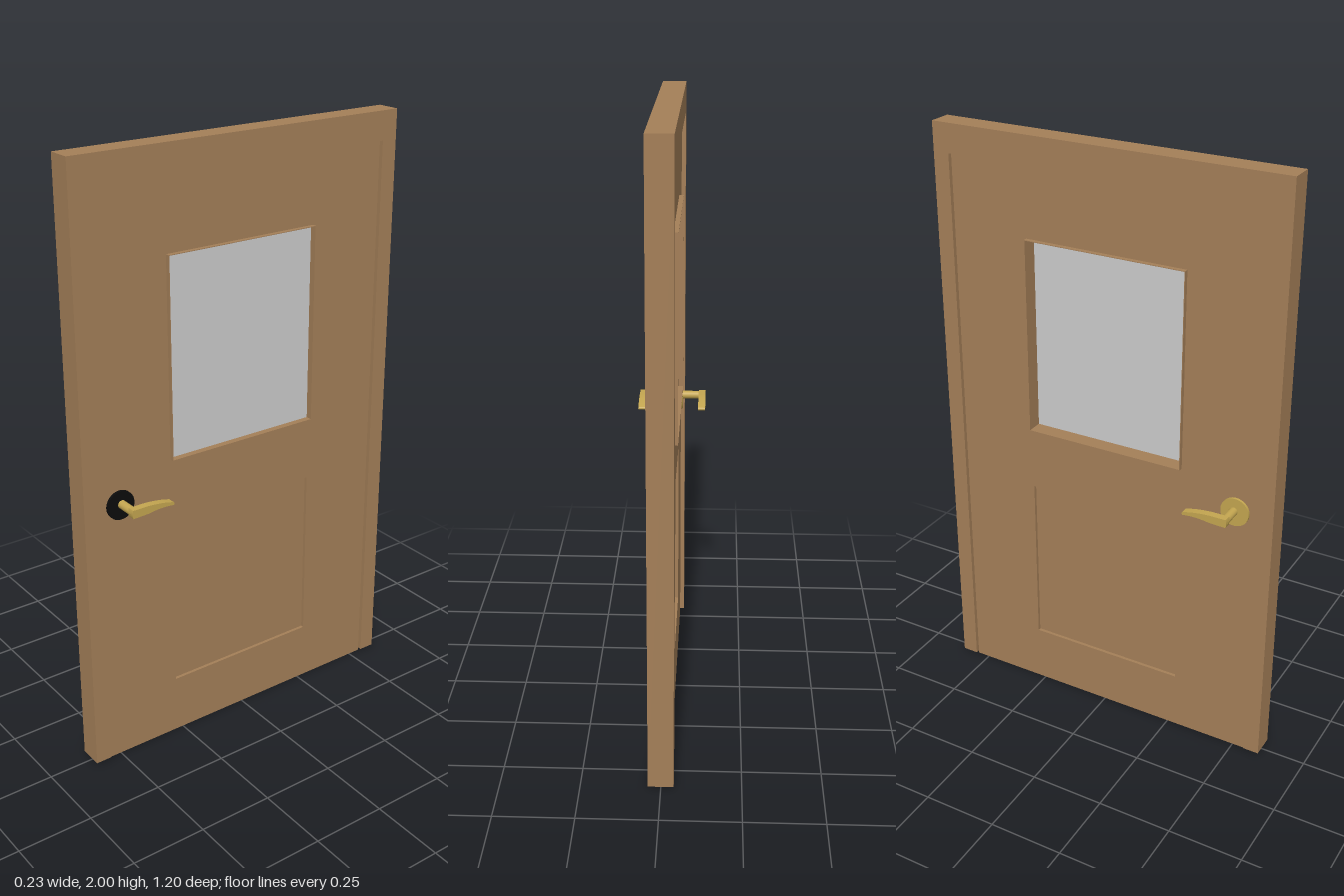
import * as THREE from 'three';

// Rectangle outline given by left, bottom, right and top
function rect(l, b, r, t, Type = THREE.Shape) {
  const s = new Type();
  s.moveTo(l, b);
  s.lineTo(r, b);
  s.lineTo(r, t);
  s.lineTo(l, t);
  s.closePath();
  return s;
}

// Extrudes a shape drawn in (-z, y) along x, between x0 and x1
function slab(shape, x0, x1) {
  const g = new THREE.ExtrudeGeometry(shape, { depth: x1 - x0, bevelEnabled: false, curveSegments: 32 });
  g.rotateY(Math.PI / 2);
  g.translate(x0, 0, 0);
  return g;
}

export function createModel() {
  const wood = new THREE.MeshStandardMaterial({ color: 0xa47f58 });
  const glass = new THREE.MeshStandardMaterial({ color: 0xcccccc });
  const brass = new THREE.MeshStandardMaterial({ color: 0xc4a650 });
  const black = new THREE.MeshStandardMaterial({ color: 0x0c0c0c });
  wood.name = 'wood';
  glass.name = 'glass';
  brass.name = 'brass';
  black.name = 'black';

  const model = new THREE.Group();
  model.name = 'door';
  const add = (parent, name, geometry, material) => {
    const m = new THREE.Mesh(geometry, material);
    m.name = name;
    parent.add(m);
    return m;
  };

  const W = 0.275, winB = 1.015, winT = 1.67;
  const windowHole = () => rect(-W, winB, W, winT, THREE.Path);
  const panelHole = () => rect(-W, 0.2, W, 0.795, THREE.Path);

  // Frame: two jambs and a lintel in one piece
  const u = new THREE.Shape();
  [[-0.6, 0.01], [-0.545, 0.01], [-0.545, 1.905], [0.545, 1.905], [0.545, 0.01], [0.6, 0.01], [0.6, 2], [-0.6, 2]]
    .forEach(([a, b], i) => (i ? u.lineTo(a, b) : u.moveTo(a, b)));
  u.closePath();
  add(model, 'frame', slab(u, -0.04, 0.04), wood);

  // Leaf: a core with facings that leave the lower panel sunk on both sides
  const leaf = new THREE.Group();
  leaf.name = 'leaf';
  model.add(leaf);
  const core = rect(-0.545, 0, 0.545, 1.905);
  core.holes.push(windowHole());
  add(leaf, 'leafCore', slab(core, -0.015, 0.015), wood);
  const facing = rect(-0.545, 0, 0.545, 1.905);
  facing.holes.push(windowHole(), panelHole());
  add(leaf, 'leafFacing', slab(facing, 0.015, 0.026), wood);
  add(leaf, 'leafFacing', slab(facing, -0.026, -0.015), wood);

  // Window: a thin sleeve standing proud of the leaf, with a pane set in it
  const sleeve = rect(-W - 0.002, winB - 0.002, W + 0.002, winT + 0.002);
  sleeve.holes.push(windowHole());
  add(model, 'windowSleeve', slab(sleeve, -0.041, 0.041), wood);
  add(model, 'windowPane', slab(rect(-W, winB, W, winT), 0.013, 0.019), glass);

  // Lever profile: thick at the stem, tapering to a slim tip
  const lever = new THREE.Shape();
  lever.moveTo(-0.475, 0.903);
  lever.lineTo(-0.42, 0.905);
  lever.quadraticCurveTo(-0.37, 0.914, -0.328, 0.907);
  lever.quadraticCurveTo(-0.322, 0.912, -0.328, 0.917);
  lever.quadraticCurveTo(-0.37, 0.929, -0.42, 0.931);
  lever.lineTo(-0.475, 0.931);
  lever.quadraticCurveTo(-0.48, 0.917, -0.475, 0.903);

  // Handles: rosette, stem and lever on each side
  for (const s of [1, -1]) {
    const handle = new THREE.Group();
    handle.name = s > 0 ? 'leftHandle' : 'rightHandle';
    model.add(handle);

    const ring = new THREE.Shape();
    ring.absarc(-0.467, 0.914, 0.048, 0, Math.PI * 2);
    const x0 = s > 0 ? 0.026 : -0.035;
    add(handle, 'rosette', slab(ring, x0, x0 + 0.009), s > 0 ? black : brass);

    const stem = new THREE.CylinderGeometry(0.014, 0.014, 0.08, 24);
    stem.rotateZ(Math.PI / 2);
    add(handle, 'stem', stem, brass).position.set(s * 0.065, 0.917, 0.464);

    add(handle, 'lever', slab(lever, -0.0125, 0.0125), brass).position.x = s * 0.1045;
  }
  return model;
}
